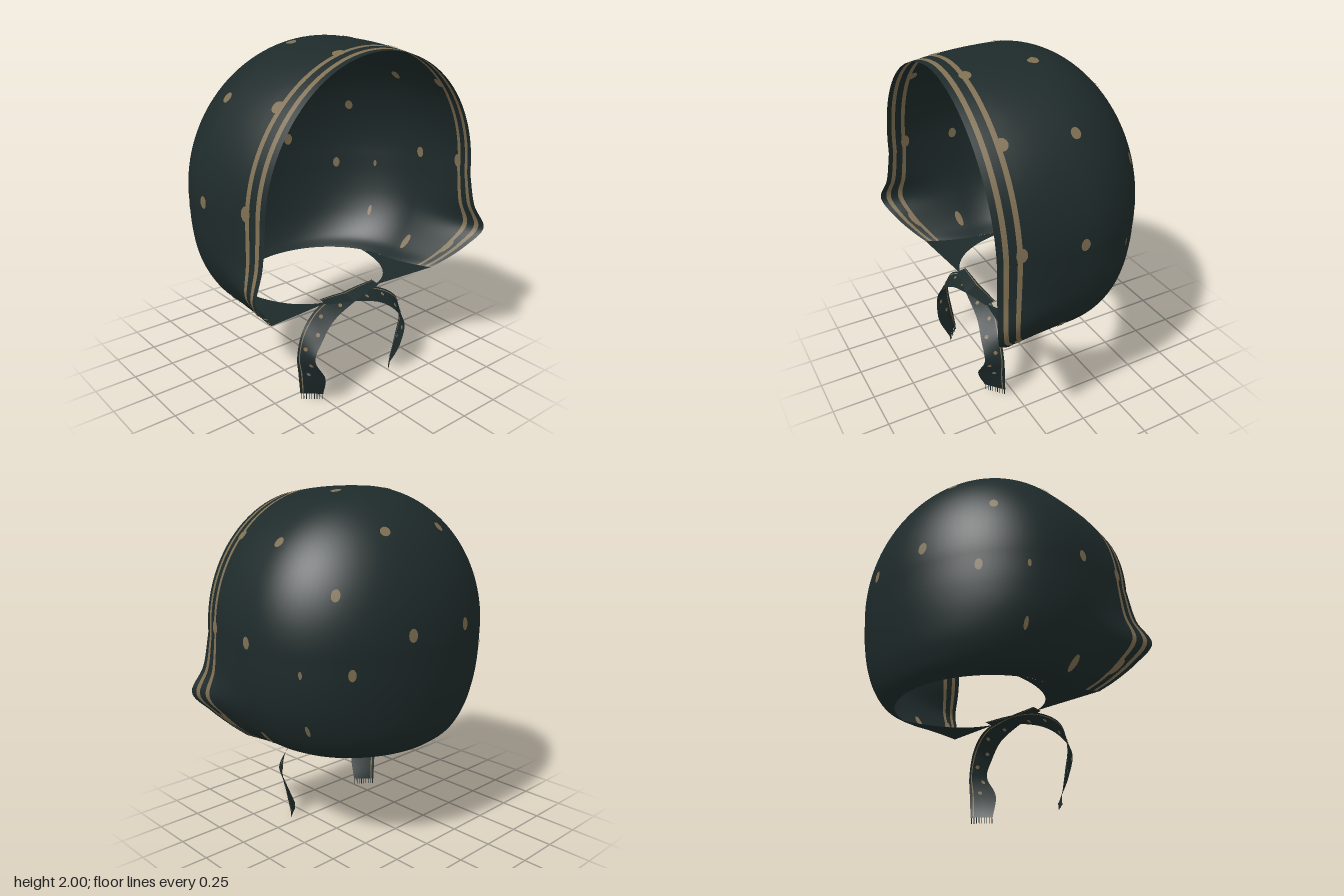
import * as THREE from 'three';
import { mergeVertices } from 'three/addons/utils/BufferGeometryUtils.js';

const V = (x, y, z) => new THREE.Vector3(x, y, z);

// Lower half of the hood, from the neck hem up: body (half width, y, depth) and rim (x, y, z)
const bodyCurve = new THREE.CatmullRomCurve3([
  V(0.52, 0.57, 0.46), V(0.61, 0.62, 0.52), V(0.69, 0.72, 0.57),
  V(0.75, 0.85, 0.6), V(0.78, 1.0, 0.62), V(0.79, 1.2, 0.63)]);
const rimCurve = new THREE.CatmullRomCurve3([
  V(0.6, 0.585, 0.38), V(0.66, 0.64, 0.44), V(0.75, 0.74, 0.525),
  V(0.83, 0.85, 0.58), V(0.765, 1.0, 0.55), V(0.73, 1.2, 0.53)]);
const ZC = 0.05;

// Hood surface: q runs 0..4 from the left rim round the back to the right rim, e runs 0..2 upward
function hood(q, e) {
  q = THREE.MathUtils.clamp(q, 0, 4);
  e = THREE.MathUtils.clamp(e, 0, 2);
  let b, r;
  if (e < 1) {
    b = bodyCurve.getPoint(e);
    r = rimCurve.getPoint(e);
  } else {
    const a = (e - 1) * Math.PI / 2, c = Math.cos(a), s = Math.sin(a);
    b = V(0.79 * c, 1.2 + 0.8 * s, 0.63 * c);
    r = V(0.73 * c, 1.2 + 0.765 * s, 0.53 + 0.01 * Math.sin(2 * a) - 0.005 * s);
  }
  if (q >= 1 && q <= 3) {
    const a = (q - 1) * Math.PI / 2;
    return V(b.x * Math.cos(a), b.y, ZC - b.z * Math.sin(a));
  }
  // The jaw flares out sooner than the upper sides turn in
  const t = q < 1 ? 1 - q : q - 3;
  const k = Math.pow(t, 1.5 + 0.7 * THREE.MathUtils.smoothstep(e, 0.5, 1.1));
  const x = b.x + (r.x - b.x) * k;
  return V(q < 1 ? x : -x, b.y + (r.y - b.y) * k, ZC + (r.z - ZC) * t);
}

// Grid over a surface function; isTrim(i) picks material 1 for column i
function gridGeometry(fn, us, vs, isTrim = () => false) {
  const pos = [], index = [], n = vs.length;
  for (const u of us) for (const v of vs) pos.push(...fn(u, v).toArray());
  const geo = new THREE.BufferGeometry();
  for (let i = 0; i < us.length - 1; i++) {
    const start = index.length;
    for (let j = 0; j < n - 1; j++) {
      const a = i * n + j, b = a + n;
      index.push(a, b, a + 1, b, b + 1, a + 1);
    }
    geo.addGroup(start, index.length - start, isTrim(i) ? 1 : 0);
  }
  geo.setAttribute('position', new THREE.Float32BufferAttribute(pos, 3));
  geo.setIndex(index);
  const merged = mergeVertices(geo, 1e-5);
  merged.computeVertexNormals();
  return merged;
}

// Oval spot (radii ru, rv) lying on a surface, lifted by a small offset along its normal
function spotGeometry(fn, u, v, ru, rv, lift) {
  const h = 0.005, sides = 12;
  const du = fn(u + h, v).sub(fn(u - h, v)).divideScalar(2 * h);
  const dv = fn(u, v + h).sub(fn(u, v - h)).divideScalar(2 * h);
  const normal = du.clone().cross(dv).normalize();
  const pos = fn(u, v).addScaledVector(normal, lift).toArray(), index = [];
  for (let i = 0; i < sides; i++) {
    const a = i / sides * Math.PI * 2;
    const p = fn(u + ru * Math.cos(a) / du.length(), v + rv * Math.sin(a) / dv.length());
    pos.push(...p.addScaledVector(normal, lift).toArray());
    index.push(0, i + 1, (i + 1) % sides + 1);
  }
  const geo = new THREE.BufferGeometry();
  geo.setAttribute('position', new THREE.Float32BufferAttribute(pos, 3));
  geo.setIndex(index);
  geo.computeVertexNormals();
  return geo;
}

// Hood parameters nearest to a target point
function locate(target) {
  let best = [0, 0], min = Infinity;
  for (let q = 0.03; q < 4; q += 0.02) for (let e = 0.04; e < 1.97; e += 0.02) {
    const d = hood(q, e).distanceToSquared(target);
    if (d < min) { min = d; best = [q, e]; }
  }
  return best;
}

const range = (a, b, n) => Array.from({ length: n + 1 }, (_, i) => a + (b - a) * i / n);

export function createModel() {
  const model = new THREE.Group();
  model.name = 'bonnet';
  const cloth = new THREE.MeshStandardMaterial({ color: 0x1e2a2a, side: THREE.DoubleSide });
  cloth.name = 'dark green cloth';
  const tan = new THREE.MeshStandardMaterial({ color: 0x7f6f52, side: THREE.DoubleSide });
  tan.name = 'tan print';
  const add = (geo, mat, name, parent = model) => {
    const mesh = new THREE.Mesh(geo, mat);
    mesh.name = name;
    parent.add(mesh);
  };

  // Hood shell with two stripes following the face opening
  const rimBands = [0, 0.065, 0.12, 0.205, 0.26];
  const qs = [...rimBands, ...range(0.35, 3.65, 80), ...rimBands.map(q => 4 - q).reverse()];
  const last = qs.length - 2;
  const stripe = i => [1, 3, last - 1, last - 3].includes(i);
  add(gridGeometry(hood, qs, range(0, 2, 72), stripe), [cloth, tan], 'hood');

  // Printed spots, visible on both faces of the cloth: place, width and height radii
  const spots = new THREE.Group();
  spots.name = 'hoodSpots';
  model.add(spots);
  const spotList = [
    [V(0.21, 1.28, -0.56), 0.028, 0.037], [V(0.21, 1.79, -0.36), 0.03, 0.03],
    [V(0.57, 1.51, -0.36), 0.024, 0.033], [V(0.5, 1.1, -0.42), 0.022, 0.033],
    [V(0.2, 1.96, 0.03), 0.028, 0.028], [V(0.6, 1.735, 0.025), 0.029, 0.031],
    [V(0.79, 1.235, 0.07), 0.026, 0.035], [V(0.7, 1.1, -0.25), 0.01, 0.022],
    [V(0.66, 0.77, -0.24), 0.012, 0.036], [V(0.64, 0.67, 0.11), 0.022, 0.055],
    [V(0.19, 1.94, 0.405), 0.032, 0.034], [V(0.55, 1.73, 0.405), 0.032, 0.034],
    [V(0.76, 1.25, 0.415), 0.03, 0.04], [V(0.71, 0.7, 0.41), 0.022, 0.06]];
  for (const [p, ru, rv] of spotList) for (const side of [1, -1]) {
    const [q, e] = locate(V(p.x * side, p.y, p.z));
    for (const lift of [0.004, -0.004]) add(spotGeometry(hood, q, e, ru, rv, lift), tan, 'spot', spots);
  }

  // Ribbon centre line and half-width vector, from the chin tip to the hanging end
  const ribbon = [
    [V(0.2, 0.577, 0.31), V(0, 0.005, -0.03)],
    [V(0, 0.557, 0.325), V(0, 0.014, -0.045)],
    [V(-0.2, 0.51, 0.34), V(-0.015, 0.03, -0.05)],
    [V(-0.32, 0.425, 0.37), V(-0.035, 0.025, -0.045)],
    [V(-0.37, 0.3, 0.375), V(-0.025, 0, -0.05)],
    [V(-0.335, 0.18, 0.38), V(-0.045, 0, -0.065)],
    [V(-0.308, 0.035, 0.345), V(-0.05, 0, -0.043)]];
  const inner = new THREE.CatmullRomCurve3(ribbon.map(([c, h]) => c.clone().sub(h)));
  const outer = new THREE.CatmullRomCurve3(ribbon.map(([c, h]) => c.clone().add(h)));

  for (const side of [1, -1]) {
    const label = side > 0 ? 'left' : 'right';

    // Chin flap closing the jaw under the hood, narrowing to the tie
    const tip = V(0.17, 0.572, 0.33), end = hood(1.25, 0);
    const hollow = new THREE.QuadraticBezierCurve3(tip, V(0.43, 0.57, 0.26), end);
    const flap = (u, v) => {
      const p = hood(1.25 * u, 0).lerp(hollow.getPoint(u), v);
      p.x *= side;
      return p;
    };
    add(gridGeometry(flap, range(0, 1, 16), range(0, 1, 6)), cloth, label + 'ChinFlap');

    // Tie ribbon crossing under the chin, with a thin stripe along its outer edge
    const tie = (u, v) => {
      const t = THREE.MathUtils.clamp(v, 0, 1);
      const p = inner.getPoint(t).lerp(outer.getPoint(t), u);
      p.x *= side;
      if (side < 0) p.y -= 0.006 * (1 - t);
      return p;
    };
    add(gridGeometry(tie, [0, 0.4, 0.85, 0.9, 1], range(0, 1, 40), i => i === 2), [cloth, tan], label + 'Tie');
    for (const [u, v] of [[0.35, 0.25], [0.6, 0.37], [0.3, 0.48], [0.6, 0.6], [0.3, 0.72], [0.6, 0.82]])
      for (const lift of [0.003, -0.003])
        add(spotGeometry(tie, u, v, 0.012, 0.012, lift), tan, label + 'TieSpot');

    // Fringe threads at the ribbon end
    for (const u of range(0.04, 0.96, 8)) {
      const thread = new THREE.BoxGeometry(0.003, 0.035, 0.003);
      const p = tie(u, 1);
      thread.translate(p.x, p.y - 0.0175, p.z);
      add(thread, cloth, label + 'Fringe');
    }
  }
  return model;
}
